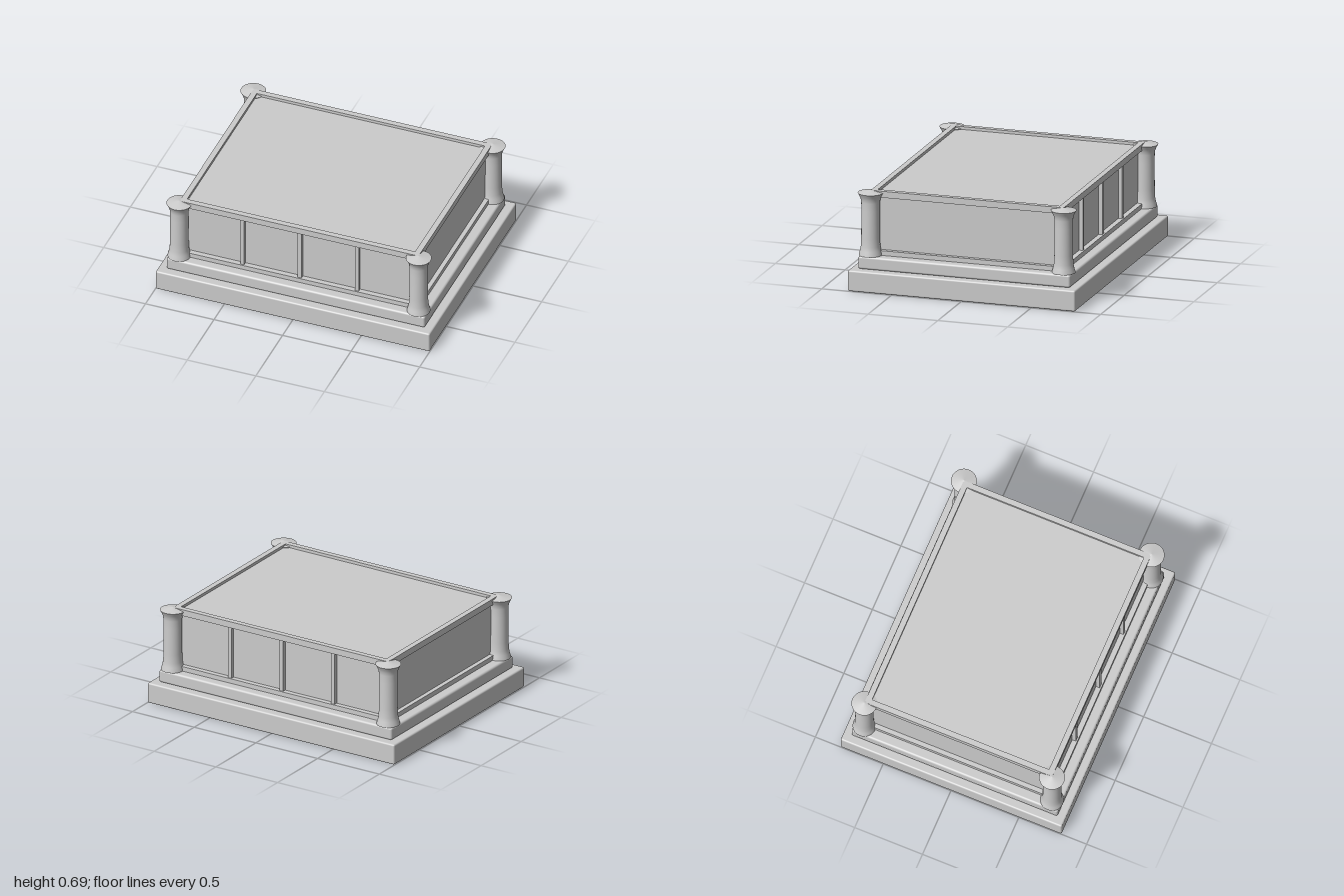
import * as THREE from 'three';
import { RoundedBoxGeometry } from 'three/addons/geometries/RoundedBoxGeometry.js';

export function createModel() {
  const model = new THREE.Group();
  model.name = 'pedestal';
  const stone = new THREE.MeshStandardMaterial({ color: 0xcccccc });
  stone.name = 'grey stone';

  function add(name, geometry, x, y, z) {
    const mesh = new THREE.Mesh(geometry, stone);
    mesh.name = name;
    mesh.position.set(x, y, z);
    model.add(mesh);
    return mesh;
  }
  // Slab with softened edges, spanning y0 to y1
  function slab(name, w, d, y0, y1, r) {
    add(name, new RoundedBoxGeometry(w, y1 - y0, d, 3, r), 0, (y0 + y1) / 2, 0);
  }
  function box(name, w, h, d, x, y, z) {
    add(name, new THREE.BoxGeometry(w, h, d), x, y, z);
  }

  // Stepped base and central block
  slab('plinth', 2, 1.63, 0, 0.147, 0.012);
  slab('upperStep', 1.885, 1.52, 0.147, 0.237, 0.015);
  slab('block', 1.68, 1.31, 0.22, 0.67, 0.006);

  // Rails framing the top and bottom of each face
  const rails = [['topRail', 0.645, 0.69], ['bottomRail', 0.235, 0.27]];
  for (const [name, y0, y1] of rails) {
    const h = y1 - y0, y = (y0 + y1) / 2;
    for (const s of [-1, 1]) {
      box(name, 1.74, h, 0.04, 0, y, s * 0.672);
      box(name, 0.04, h, 1.304, s * 0.852, y, 0);
    }
  }

  // Upright bars dividing the front and back into four panels
  for (const s of [-1, 1]) {
    for (const x of [-0.418, 0, 0.418]) {
      box('panelBar', 0.028, 0.385, 0.03, x, 0.4575, s * 0.667);
    }
  }

  // Corner columns with flared foot, flared head and a shallow conical cap
  const shaftProfile = [
    [0.08, 0.236], [0.079, 0.245], [0.072, 0.27], [0.066, 0.3], [0.064, 0.36],
    [0.063, 0.55], [0.064, 0.61], [0.068, 0.635], [0.077, 0.655], [0.088, 0.675],
  ].map(([r, y]) => new THREE.Vector2(r, y));
  const shaft = new THREE.LatheGeometry(shaftProfile, 40);
  const cap = new THREE.ConeGeometry(0.088, 0.018, 40);
  for (const sx of [-1, 1]) {
    for (const sz of [-1, 1]) {
      add('cornerColumn', shaft, sx * 0.873, 0, sz * 0.692);
      add('columnCap', cap, sx * 0.873, 0.684, sz * 0.692);
    }
  }
  return model;
}
